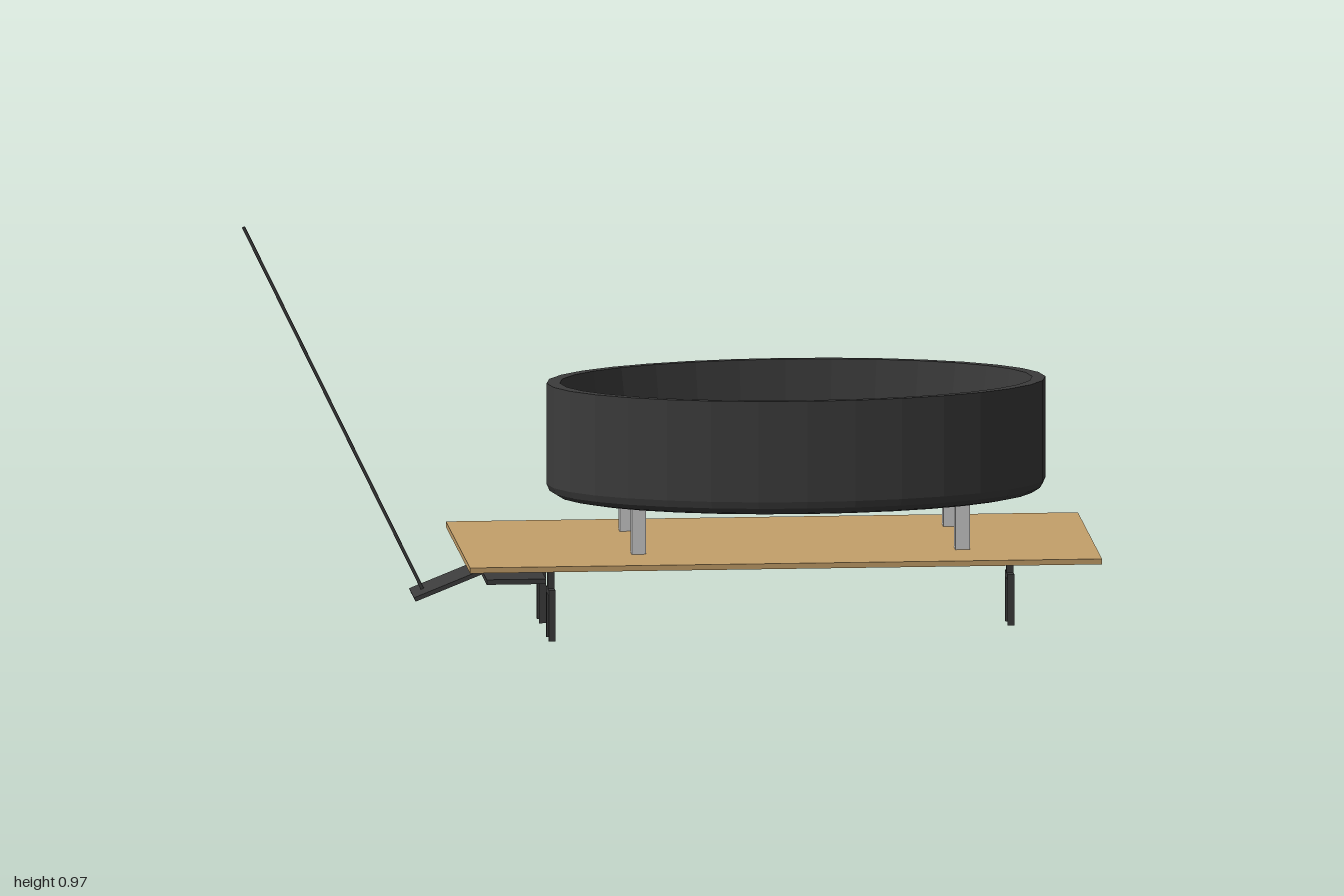
import * as THREE from 'three';

const paint = (color, extra = {}) => new THREE.MeshStandardMaterial({ color, ...extra });

export function createModel() {
  const model = new THREE.Group();
  const dark = paint(0x3c3c3c), wood = paint(0xc4a06a), grey = paint(0xcccccc);

  const add = (name, geometry, material, x, y, z, parent = model) => {
    const mesh = new THREE.Mesh(geometry, material);
    mesh.name = name;
    mesh.position.set(x, y, z);
    parent.add(mesh);
    return mesh;
  };
  const box = (name, w, h, d, material, x, y, z, parent) =>
    add(name, new THREE.BoxGeometry(w, h, d), material, x, y, z, parent);

  // Wooden deck
  box('deck', 1.49, 0.013, 0.66, wood, 0.255, 0.197, 0);

  // Oval tub: a unit-radius profile, stretched to an ellipse
  const cx = 0.307, rx = 0.588, rz = 0.308;
  const profile = [
    [0, 0.312], [0.91, 0.312], [0.955, 0.317], [0.988, 0.329], [1, 0.345],
    [1, 0.585], [0.947, 0.585], [0.89, 0.335], [0.87, 0.32], [0, 0.32],
  ].map(([r, y]) => new THREE.Vector2(r, y));
  const tub = add('tub', new THREE.LatheGeometry(profile, 32),
    paint(0x3c3c3c, { flatShading: true }), cx, 0, 0);
  tub.scale.set(rx, 1, rz);

  // Water surface
  const water = add('water', new THREE.CircleGeometry(1, 32).rotateX(-Math.PI / 2),
    paint(0x93c1b5), cx, 0.327, 0);
  water.scale.set(0.885 * rx, 1, 0.885 * rz);

  // Drain and spout
  add('drain', new THREE.CylinderGeometry(0.035, 0.035, 0.004, 24), paint(0x8f9c97), -0.107, 0.328, 0);
  const spout = new THREE.Group();
  spout.name = 'spout';
  model.add(spout);
  box('spoutArm', 0.03, 0.014, 0.085, grey, 0.25, 0.478, -0.246, spout);
  box('spoutTip', 0.03, 0.012, 0.015, grey, 0.25, 0.468, -0.211, spout);

  // Tub feet
  for (const x of [-0.078, 0.685])
    for (const z of [0.155, -0.172])
      box('tubFoot', 0.034, 0.112, 0.034, grey, x, 0.258, z);

  // Forked stands below the deck
  const stand = (x, z) => {
    const fork = new THREE.Group();
    fork.name = 'stand';
    fork.position.set(x, 0, z);
    box('standStem', 0.016, 0.057, 0.018, dark, 0, 0.1415, 0, fork);
    box('standBar', 0.016, 0.014, 0.072, dark, 0, 0.118, 0, fork);
    for (const s of [-1, 1])
      box('standProng', 0.016, 0.122, 0.009, dark, 0, 0.064, s * 0.0315, fork);
    model.add(fork);
  };
  stand(-0.285, 0.162);
  stand(-0.285, -0.098);
  stand(0.808, 0.031);

  // Front plate with a sloped tongue
  box('frontPlate', 0.14, 0.012, 0.425, dark, -0.372, 0.152, 0.019);
  const tongue = box('tongue', 0.172, 0.01, 0.135, dark, -0.519, 0.12, 0.016);
  tongue.rotation.z = Math.atan2(0.064, 0.16);

  // Slanted pull rod
  const low = new THREE.Vector3(-0.574, 0.1, 0.016), high = new THREE.Vector3(-0.997, 0.97, 0.016);
  const along = high.clone().sub(low);
  const rod = add('pullRod', new THREE.CylinderGeometry(0.004, 0.004, along.length(), 8), dark, 0, 0, 0);
  rod.position.copy(low).add(high).multiplyScalar(0.5);
  rod.quaternion.setFromUnitVectors(new THREE.Vector3(0, 1, 0), along.normalize());

  return model;
}
